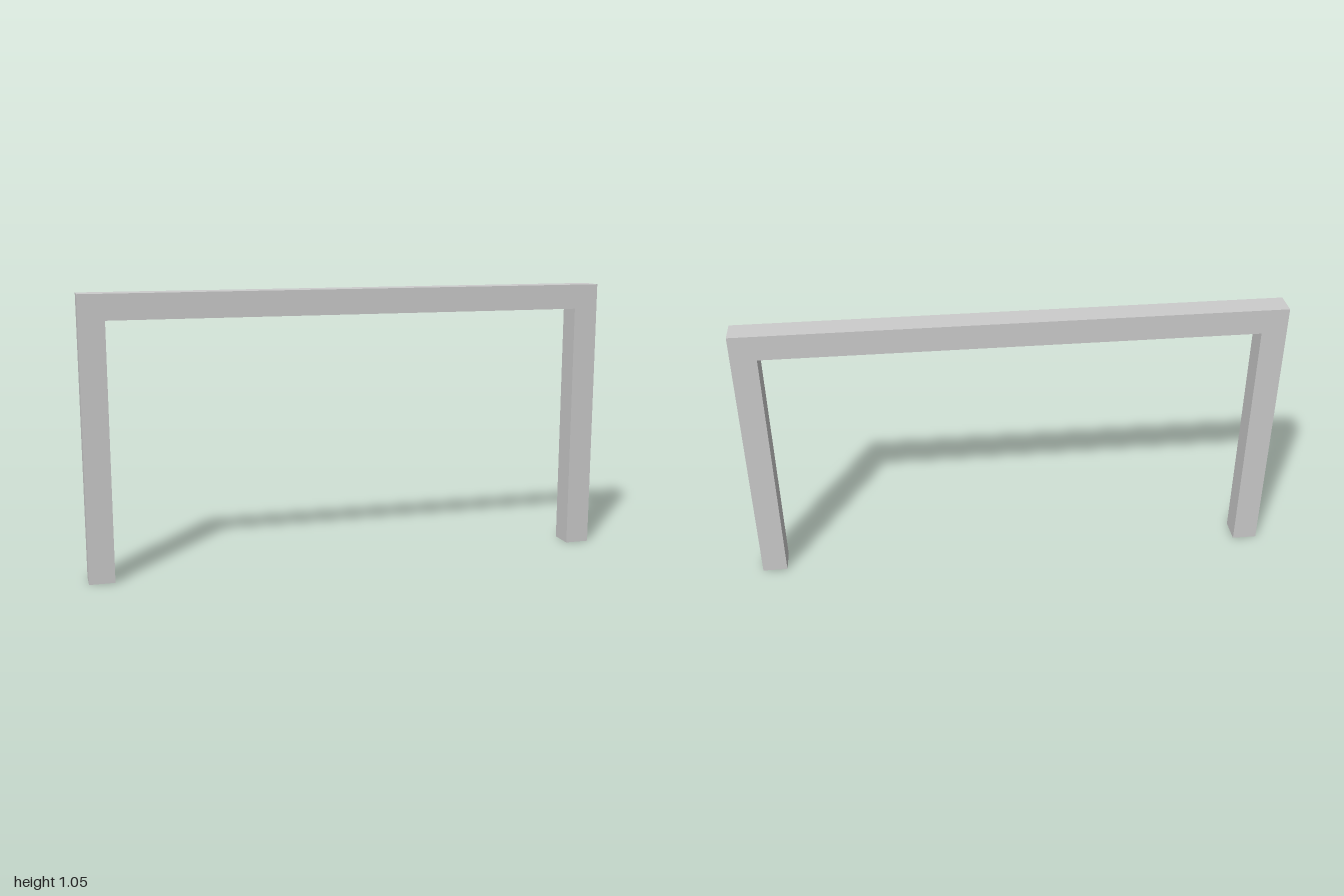
import * as THREE from 'three';

const HALF = 1, HEIGHT = 1.048, BAR = 0.094;

export function createModel() {
  const group = new THREE.Group();
  group.name = 'archFrame';

  // Two legs and a top beam as one seamless square-section outline
  const inner = HALF - BAR, under = HEIGHT - BAR;
  const outline = new THREE.Shape([
    [-HALF, 0], [-inner, 0], [-inner, under], [inner, under],
    [inner, 0], [HALF, 0], [HALF, HEIGHT], [-HALF, HEIGHT],
  ].map(([x, y]) => new THREE.Vector2(x, y)));

  const geometry = new THREE.ExtrudeGeometry(outline, { depth: BAR, bevelEnabled: false });
  geometry.translate(0, 0, -BAR / 2);

  const frame = new THREE.Mesh(geometry, new THREE.MeshStandardMaterial({ color: 0xcccccc }));
  frame.name = 'legsAndBeam';
  group.add(frame);
  return group;
}
